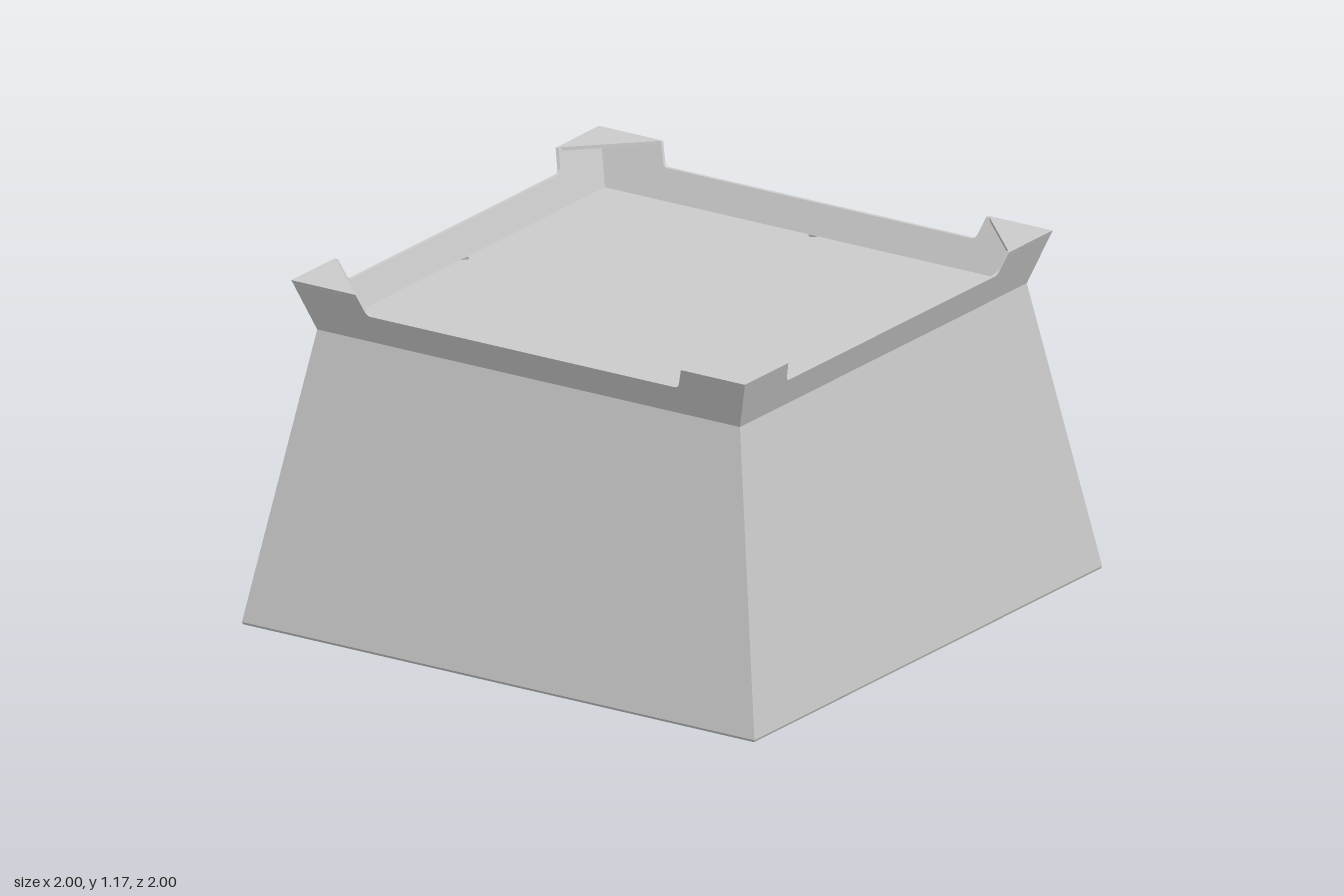
import * as THREE from 'three';

const T = 0.012;                 // sheet thickness
const FLOOR = 1.0, RIM = 1.1, TOP = 1.175;
const INNER = 0.813;             // half width inside the waist
const FLARE = 0.06 / (TOP - FLOOR);

const material = new THREE.MeshStandardMaterial({ color: 0xcccccc, flatShading: true, side: THREE.DoubleSide });

function addMesh(parent, name, geometry) {
  const flat = geometry.index ? geometry.toNonIndexed() : geometry;
  flat.computeVertexNormals();
  const mesh = new THREE.Mesh(flat, material);
  mesh.name = name;
  parent.add(mesh);
  return mesh;
}

// Tapered hollow body with an inward lip: a square, four-sided lathe
function bodyGeometry() {
  const profile = [
    [0.915, 0], [0.988, 0], [0.997, 0.004], [1, T],
    [INNER + T, FLOOR], [INNER, FLOOR],
    [0.986, T], [0.915, T], [0.915, 0],
  ].map(([half, y]) => new THREE.Vector2(half * Math.SQRT2, y));
  return new THREE.LatheGeometry(profile, 4, Math.PI / 4);
}

// Recessed top plate with a half-round relief in the middle of each edge
function floorGeometry() {
  const shape = new THREE.Shape();
  shape.moveTo(-INNER, -INNER);
  for (let i = 0; i < 4; i++) {
    const a = (i - 1) * Math.PI / 2;
    shape.absarc(INNER * Math.cos(a), INNER * Math.sin(a), 0.017, a - Math.PI / 2, a + Math.PI / 2, true);
    const c = a + Math.PI / 4, r = INNER * Math.SQRT2;
    shape.lineTo(r * Math.cos(c), r * Math.sin(c));
  }
  const geometry = new THREE.ExtrudeGeometry(shape, { depth: T, bevelEnabled: false, curveSegments: 10 });
  return geometry.rotateX(-Math.PI / 2).translate(0, FLOOR - T, 0);
}

// Flared rim wall, cut down between the two corner tabs
function rimGeometry() {
  const w = INNER + T, t = 0.885;
  const shape = new THREE.Shape();
  shape.moveTo(-w, FLOOR);
  shape.lineTo(w, FLOOR);
  shape.lineTo(t, TOP);
  shape.lineTo(0.635, TOP);
  shape.lineTo(0.615, RIM + 0.02);
  shape.quadraticCurveTo(0.608, RIM, 0.593, RIM);
  shape.lineTo(-0.593, RIM);
  shape.quadraticCurveTo(-0.608, RIM, -0.615, RIM + 0.02);
  shape.lineTo(-0.635, TOP);
  shape.lineTo(-t, TOP);
  const geometry = new THREE.ExtrudeGeometry(shape, { depth: T, bevelEnabled: false, curveSegments: 6 });
  // lean the sheet outward and mitre its ends
  const p = geometry.attributes.position;
  for (let i = 0; i < p.count; i++) {
    const x = p.getX(i), y = p.getY(i);
    const z = INNER + p.getZ(i) + (y - FLOOR) * FLARE;
    p.setXYZ(i, Math.sign(x) * Math.min(Math.abs(x), z), y, z);
  }
  return geometry;
}

// Flat triangle closing the top of a corner
function gussetGeometry() {
  const c = 0.881, d = 1.52 - c;
  const shape = new THREE.Shape([
    new THREE.Vector2(c, -c), new THREE.Vector2(c, -d), new THREE.Vector2(d, -c),
  ]);
  const geometry = new THREE.ExtrudeGeometry(shape, { depth: T, bevelEnabled: false });
  return geometry.rotateX(-Math.PI / 2).translate(0, TOP - T, 0);
}

export function createModel() {
  const model = new THREE.Group();
  model.name = 'taperedBase';
  addMesh(model, 'body', bodyGeometry());
  addMesh(model, 'topPlate', floorGeometry());
  ['front', 'left', 'back', 'right'].forEach((side, i) => {
    const turn = i * Math.PI / 2;
    addMesh(model, side + 'RimWall', rimGeometry()).rotation.y = turn;
    addMesh(model, 'cornerGusset' + (i + 1), gussetGeometry()).rotation.y = turn;
  });
  return model;
}
